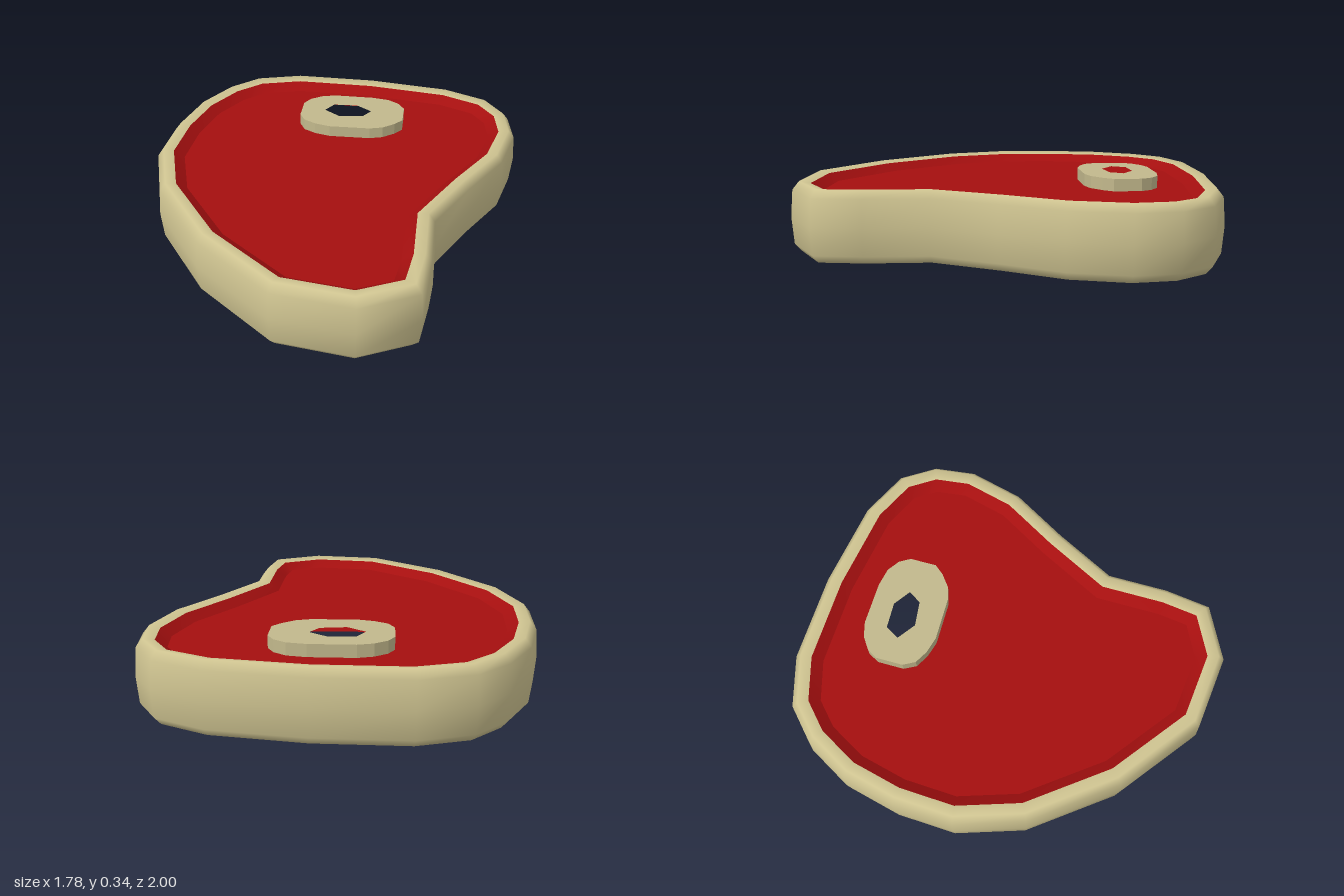
import * as THREE from 'three';

// Outlines as [x, z] corners, clockwise seen from above
const OUTLINE = [
  [0.055, -1], [0.49, -0.97], [0.73, -0.88], [0.85, -0.725], [0.89, -0.52],
  [0.84, -0.25], [0.7, 0.03], [0.57, 0.33], [0.59, 0.62], [0.575, 0.85],
  [0.325, 0.995], [-0.045, 0.975], [-0.44, 0.71], [-0.75, 0.355], [-0.88, 0.04],
  [-0.89, -0.25], [-0.85, -0.515], [-0.75, -0.735], [-0.615, -0.885], [-0.375, -0.975],
];
const BONE = [
  [0.1, -0.725], [0.19, -0.715], [0.25, -0.68], [0.285, -0.63], [0.295, -0.5], [0.26, -0.45],
  [0.205, -0.4], [0.14, -0.375], [-0.07, -0.355], [-0.15, -0.37], [-0.215, -0.4], [-0.25, -0.455],
  [-0.26, -0.585], [-0.235, -0.64], [-0.18, -0.685], [-0.11, -0.71],
];
const BONE_HOLE = [
  [0.03, -0.615], [0.115, -0.565], [0.08, -0.5], [-0.04, -0.475], [-0.13, -0.53], [-0.095, -0.6],
];

// Move every corner inward by d, keeping edges parallel
function inset(loop, d) {
  const n = loop.length;
  const normal = (a, b) => new THREE.Vector2(a[1] - b[1], b[0] - a[0]).normalize();
  return loop.map((p, i) => {
    const n1 = normal(loop[(i + n - 1) % n], p);
    const n2 = normal(p, loop[(i + 1) % n]);
    const k = d / (1 + n1.dot(n2));
    return [p[0] + (n1.x + n2.x) * k, p[1] + (n1.y + n2.y) * k];
  });
}

// Smooth band through loops given as [inset, y] steps
function band(steps) {
  const n = OUTLINE.length;
  const pos = [], index = [];
  for (const [d, y] of steps) for (const [x, z] of inset(OUTLINE, d)) pos.push(x, y, z);
  for (let k = 0; k < steps.length - 1; k++) {
    for (let i = 0; i < n; i++) {
      const a = k * n + i, b = k * n + (i + 1) % n;
      index.push(a, a + n, b, b, a + n, b + n);
    }
  }
  const geo = new THREE.BufferGeometry();
  geo.setAttribute('position', new THREE.Float32BufferAttribute(pos, 3));
  geo.setIndex(index);
  geo.computeVertexNormals();
  return geo;
}

// Flat shape in the ground plane with one hole
function plate(outer, hole) {
  const pts = (loop) => loop.map(([x, z]) => new THREE.Vector2(x, -z));
  const shape = new THREE.Shape(pts(outer));
  shape.holes.push(new THREE.Path(pts(hole)));
  return shape;
}

export function createModel() {
  const group = new THREE.Group();
  const fat = new THREE.MeshStandardMaterial({ color: 0xcfc491 });
  const boneMat = new THREE.MeshStandardMaterial({ color: 0xc2b88c });
  const meat = new THREE.MeshStandardMaterial({ color: 0xa50f0f });
  const add = (name, geo, mat) => {
    const mesh = new THREE.Mesh(geo, mat);
    mesh.name = name;
    group.add(mesh);
    return mesh;
  };

  // Fat rim with chamfered edges
  add('fatRim', band([
    [0.09, 0.015], [0.04, 0.003], [0.01, 0.04], [0, 0.168], [0.01, 0.295], [0.04, 0.333], [0.09, 0.322],
  ]), fat);

  // Meat: sloped border and flat face, above and below
  add('meatTopBorder', band([[0.09, 0.322], [0.14, 0.285]]), meat);
  add('meatBottomBorder', band([[0.14, 0.035], [0.09, 0.015]]), meat);
  const face = inset(OUTLINE, 0.14);
  const top = add('meatTop', new THREE.ShapeGeometry(plate(face, BONE)).rotateX(-Math.PI / 2), meat);
  top.position.y = 0.285;
  // The lower face is the same plate, mirrored to look down
  const lower = new THREE.ShapeGeometry(plate(face, BONE)).rotateX(-Math.PI / 2);
  const idx = lower.index.array;
  for (let i = 0; i < idx.length; i += 3) [idx[i], idx[i + 1]] = [idx[i + 1], idx[i]];
  lower.computeVertexNormals();
  add('meatBottom', lower, meat).position.y = 0.035;

  // Bone running through the meat, with an open marrow hole
  add('bone', new THREE.ExtrudeGeometry(plate(BONE, BONE_HOLE), { depth: 0.343, bevelEnabled: false })
    .rotateX(-Math.PI / 2), boneMat);

  return group;
}
